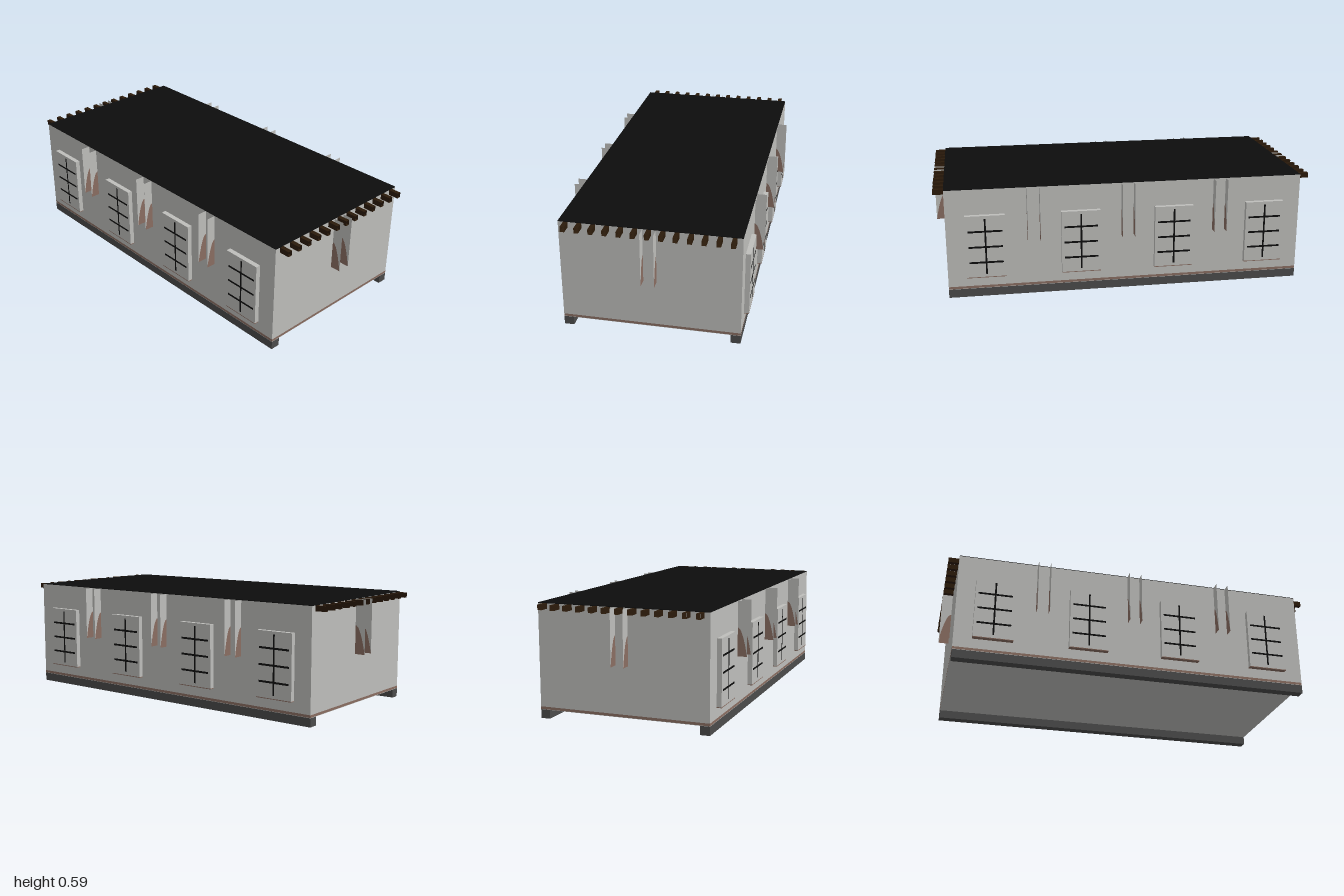
import * as THREE from 'three';

const mat = (name, color, side = THREE.FrontSide) => {
  const m = new THREE.MeshStandardMaterial({ color, side });
  m.name = name;
  return m;
};

export function createModel() {
  const grey = mat('wall grey', 0xbebebb);
  const greySheet = mat('wall grey sheet', 0xbebebb, THREE.DoubleSide);
  const black = mat('roof black', 0x0d0d0d);
  const brown = mat('trim brown', 0x8a6e62);
  const brownSheet = mat('bracket brown sheet', 0x8a6e62, THREE.DoubleSide);
  const dark = mat('rail dark grey', 0x4b4b4b);
  const timber = mat('beam timber', 0x2b1a0a, THREE.DoubleSide);

  const model = new THREE.Group();
  model.name = 'building';
  const HX = 0.945, HZ = 0.45, TOP = 0.585;

  const add = (parent, name, geometry, material, x = 0, y = 0, z = 0) => {
    const mesh = new THREE.Mesh(geometry, material);
    mesh.name = name;
    mesh.position.set(x, y, z);
    parent.add(mesh);
    return mesh;
  };
  // Box given by its vertical extent
  const box = (parent, name, w, y0, y1, d, material, x = 0, z = 0) =>
    add(parent, name, new THREE.BoxGeometry(w, y1 - y0, d), material, x, (y0 + y1) / 2, z);

  // Main volume, from floor to roof
  box(model, 'floor', 2 * HX, 0.045, 0.047, 2 * HZ, grey);
  box(model, 'baseTrim', 2 * HX, 0.047, 0.06, 2 * HZ, brown);
  box(model, 'walls', 2 * HX, 0.06, TOP, 2 * HZ, grey);
  box(model, 'roof', 2 * HX, TOP, TOP + 0.003, 2 * HZ, black);
  for (const s of [-1, 1]) box(model, 'footRail', 2 * HX, 0, 0.045, 0.05, dark, 0, s * 0.425);

  // Hollow roof beams sticking out of both ends
  const beamGeo = new THREE.CylinderGeometry(Math.SQRT1_2, Math.SQRT1_2, 1, 4, 1, true)
    .rotateY(Math.PI / 4).rotateZ(Math.PI / 2).scale(0.055, 0.027, 0.022).toNonIndexed();
  beamGeo.computeVertexNormals();
  for (const s of [-1, 1]) {
    for (let i = -6; i <= 6; i++) {
      add(model, 'roofBeam', beamGeo, timber, s * (HX + 0.0275), TOP - 0.0135, i * 0.0685);
    }
  }

  // Wall fin: a sheet in the local XY plane with a curved brown foot
  const D = 0.05, Y0 = 0.302, H = 0.148;
  const curve = [];
  for (let i = 0; i <= 8; i++) {
    const t = i / 8;
    curve.push(new THREE.Vector2(D * t, Y0 + H * (1 - t * t)));
  }
  const footGeo = new THREE.ShapeGeometry(new THREE.Shape([new THREE.Vector2(0, Y0), ...curve]));
  const bladeGeo = new THREE.ShapeGeometry(new THREE.Shape(
    [...curve, new THREE.Vector2(D, TOP), new THREE.Vector2(0, TOP)]));

  const finPair = (x, z, angle, reach) => {
    const pair = new THREE.Group();
    pair.name = 'finPair';
    pair.position.set(x, 0, z);
    pair.rotation.y = angle;
    pair.scale.x = reach;
    for (const o of [-0.033, 0.033]) {
      add(pair, 'finBlade', bladeGeo, greySheet, 0, 0, o);
      add(pair, 'finFoot', footGeo, brownSheet, 0, 0, o);
    }
    model.add(pair);
  };
  for (const x of [-0.498, -0.002, 0.494]) {
    finPair(x, HZ, -Math.PI / 2, 1);
    finPair(x, -HZ, Math.PI / 2, 1);
  }
  finPair(HX, 0, 0, 1.1);
  finPair(-HX, 0, Math.PI, 1.1);

  // Windows: raised panel, thin glazing bars and a sill
  const W = 0.207, B = 0.113, T = 0.45;
  const makeWindow = (x, side) => {
    const win = new THREE.Group();
    win.name = 'window';
    win.position.set(x, 0, side * HZ);
    if (side < 0) win.rotation.y = Math.PI;
    box(win, 'windowPanel', W, B + 0.004, T, 0.025, grey, 0, 0.0125);
    box(win, 'windowSill', W, B, B + 0.004, 0.025, brown, 0, 0.0125);
    box(win, 'verticalBar', 0.009, B + 0.02, T - 0.015, 0.001, black, 0, 0.0253);
    for (let i = 1; i <= 3; i++) {
      const y = B + (T - B) * i / 4;
      box(win, 'horizontalBar', W - 0.03, y - 0.005, y + 0.005, 0.001, black, 0, 0.0253);
    }
    model.add(win);
  };
  for (const side of [-1, 1]) {
    for (let i = 0; i < 4; i++) makeWindow(-0.747 + i * 0.497, side);
  }
  return model;
}
